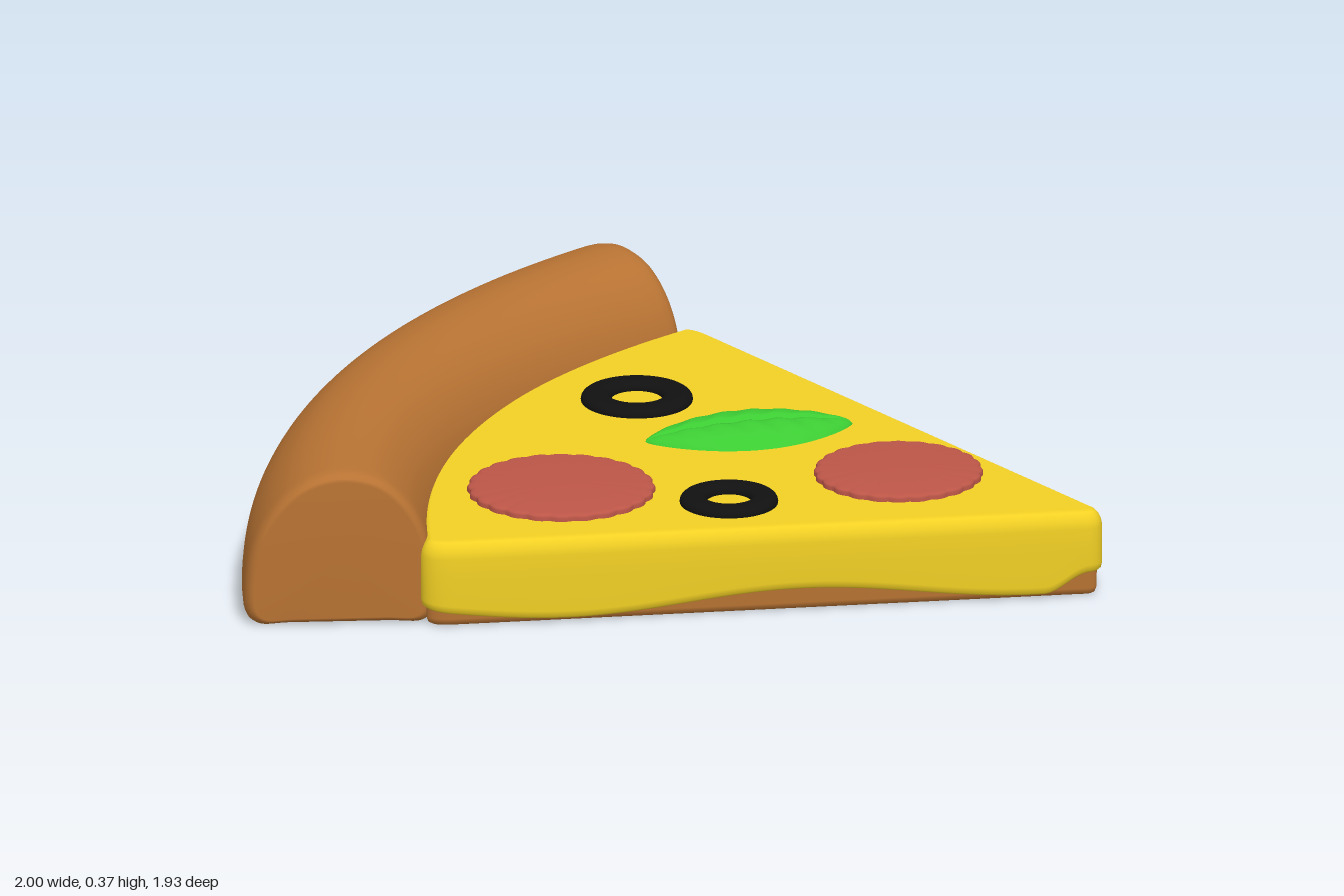
import * as THREE from 'three';

const V = (x, y, z) => new THREE.Vector3(x, y, z);

function addMesh(parent, name, geometry, color) {
  const mesh = new THREE.Mesh(geometry, new THREE.MeshStandardMaterial({ color }));
  mesh.name = name;
  parent.add(mesh);
  return mesh;
}

// Skins a list of closed rings (equal point counts), optionally closing the ends.
function loft(rings, capStart, capEnd) {
  const n = rings[0].length, pos = [], index = [];
  rings.forEach(ring => ring.forEach(p => pos.push(p.x, p.y, p.z)));
  for (let i = 0; i < rings.length - 1; i++) {
    for (let j = 0; j < n; j++) {
      const k = (j + 1) % n, a = i * n + j, b = i * n + k;
      index.push(a, b, a + n, b, b + n, a + n);
    }
  }
  const cap = (i, flip) => {
    const c = V(0, 0, 0);
    rings[i].forEach(p => c.addScaledVector(p, 1 / n));
    const ci = pos.length / 3;
    pos.push(c.x, c.y, c.z);
    for (let j = 0; j < n; j++) {
      const a = i * n + j, b = i * n + (j + 1) % n;
      if (flip) index.push(ci, b, a); else index.push(ci, a, b);
    }
  };
  if (capStart) cap(0, true);
  if (capEnd) cap(rings.length - 1, false);
  const g = new THREE.BufferGeometry();
  g.setAttribute('position', new THREE.Float32BufferAttribute(pos, 3));
  g.setIndex(index);
  g.computeVertexNormals();
  return g;
}

// Rounded wedge outline, counter-clockwise from above (shape y is -z).
function sliceOutline() {
  const s = new THREE.Shape();
  s.moveTo(0.965, -0.04);
  s.bezierCurveTo(1.01, -0.02, 1.01, 0.02, 0.965, 0.04);
  s.lineTo(-0.31, 0.793);
  s.quadraticCurveTo(-0.37, 0.83, -0.4, 0.8);
  s.quadraticCurveTo(-0.8, 0, -0.4, -0.8);
  s.quadraticCurveTo(-0.37, -0.83, -0.31, -0.793);
  s.lineTo(0.965, -0.04);
  return s.getSpacedPoints(400).slice(0, -1);
}

// Ring of the outline moved inward, at a height given by a rule.
function insetRing(outline, inset, height) {
  const n = outline.length;
  return outline.map((p, i) => {
    const d = outline[(i + 1) % n].clone().sub(outline[(i + n - 1) % n]).normalize();
    return V(p.x - d.y * inset, height(p), -(p.y - d.x * -inset));
  });
}

// Height of the melted lower edge of the cheese.
function dripHeight(p) {
  const front = 0.032 - 0.022 * Math.cos(2 * Math.PI * (p.x + 0.08) / 0.95);
  const back = 0.034 - 0.024 * Math.cos(2 * Math.PI * (p.x + 0.06) / 0.44);
  const side = THREE.MathUtils.smoothstep(p.y, -0.03, 0.03);
  const tip = THREE.MathUtils.smoothstep(p.x, 0.89, 0.985);
  return THREE.MathUtils.lerp(THREE.MathUtils.lerp(front, back, side), 0.06, tip);
}

function crustGeometry() {
  const profile = new THREE.CatmullRomCurve3([
    [-0.975, 0], [-1, 0.025], [-1, 0.13], [-0.975, 0.22], [-0.925, 0.3], [-0.865, 0.35],
    [-0.8, 0.372], [-0.74, 0.372], [-0.675, 0.35], [-0.615, 0.295], [-0.575, 0.22],
    [-0.56, 0.14], [-0.56, 0.02], [-0.58, 0], [-0.66, 0], [-0.9, 0],
  ].map(([x, y]) => V(x, y, 0)), true).getPoints(96).slice(0, -1);
  const cx = 1.2, half = 0.459, mid = V(-0.78, 0.17, 0);
  // Distance along the arc and profile scale: the ends are softly rounded.
  const ends = [[0, 0.9], [0.005, 0.94], [0.015, 0.975], [0.03, 0.993], [0.05, 1]];
  const stations = ends.map(([d, s]) => [half - d / 2, s]);
  const inner = half - 0.025;
  for (let i = 1; i < 40; i++) stations.push([inner * (1 - i / 20), 1]);
  ends.slice().reverse().forEach(([d, s]) => stations.push([-half + d / 2, s]));
  const rings = stations.map(([a, s]) => profile.map(p => {
    const q = p.clone().sub(mid).multiplyScalar(s).add(mid);
    const r = cx - q.x;
    return V(cx - r * Math.cos(a), Math.max(0, q.y), r * Math.sin(a));
  }));
  return loft(rings, true, true);
}

// Disc with a scalloped rim and a slightly domed top.
function pepperoniGeometry(radius) {
  const n = 216;
  const ring = (scale, y) => Array.from({ length: n }, (_, i) => {
    const a = i / n * Math.PI * 2;
    const r = radius * scale * (0.975 + 0.03 * Math.abs(Math.sin(a * 12)));
    return V(Math.cos(a) * r, y, -Math.sin(a) * r);
  });
  return loft([ring(1, 0.2), ring(1, 0.22), ring(0.985, 0.225), ring(0.93, 0.229),
    ring(0.6, 0.233), ring(0.2, 0.235)], false, true);
}

// Flattened ring with rounded edges.
function oliveGeometry(inner, outer) {
  const m = (inner + outer) / 2, w = (outer - inner) / 2;
  const pts = [];
  for (let i = 0; i <= 20; i++) {
    const a = -Math.PI / 2 + i / 20 * Math.PI * 2;
    const c = Math.cos(a), s = Math.sin(a);
    pts.push(new THREE.Vector2(m + w * Math.sign(c) * Math.pow(Math.abs(c), 0.6), 0.215 + 0.018 * s));
  }
  return new THREE.LatheGeometry(pts, 48);
}

// Domed leaf with a sunken midrib and faint side veins.
function leafGeometry() {
  const g = new THREE.PlaneGeometry(1, 1, 64, 32).rotateX(-Math.PI / 2);
  const p = g.attributes.position;
  for (let i = 0; i < p.count; i++) {
    const t = p.getX(i) + 0.5, s = p.getZ(i) * 2;
    const b = Math.max(0, Math.sin(Math.PI * t));
    const groove = 0.014 * Math.exp(-Math.pow(s / 0.09, 2));
    const vein = 0.002 * Math.sin((t - Math.abs(s) * 0.15) * 44) * (1 - s * s);
    const y = 0.208 + Math.sqrt(b) * (0.042 * (1 - Math.pow(Math.abs(s), 3)) - groove + vein);
    p.setXYZ(i, (t - 0.5) * 0.51, y, s * 0.13 * Math.pow(b, 0.7));
  }
  g.computeVertexNormals();
  return g;
}

export function createModel() {
  const model = new THREE.Group();
  model.name = 'pizzaSlice';
  const crustColor = 0xb87333;
  const outline = sliceOutline();

  // Bread
  addMesh(model, 'crust', crustGeometry(), crustColor);
  const doughRings = [[0.027, 0], [0.018, 0.005], [0.013, 0.018], [0.012, 0.15]]
    .map(([inset, y]) => insetRing(outline, inset, () => y));
  addMesh(model, 'doughBase', loft(doughRings, true, false), crustColor);

  // Cheese with a dripping lower edge and rounded upper edge
  const cheeseRings = [
    ...[[0.025, 0.012], [0.01, 0], [0.003, 0.006], [0, 0.02]]
      .map(([inset, dy]) => insetRing(outline, inset, p => dripHeight(p) + dy)),
    ...[[0, 0.13], [0, 0.17], [0.003, 0.185], [0.009, 0.198], [0.017, 0.207], [0.026, 0.212]]
      .map(([inset, y]) => insetRing(outline, inset, () => y)),
  ];
  addMesh(model, 'cheese', loft(cheeseRings, false, true), 0xf2d024);

  // Toppings
  [[0.465, -0.045, 0.198], [-0.225, 0.36, 0.22]].forEach(([x, z, r], i) => {
    addMesh(model, 'pepperoni' + (i + 1), pepperoniGeometry(r), 0xbc5648).position.set(x, 0, z);
  });
  [[-0.3, -0.29, 0.06, 0.132], [0.17, 0.285, 0.052, 0.116]].forEach(([x, z, a, b], i) => {
    addMesh(model, 'oliveRing' + (i + 1), oliveGeometry(a, b), 0x111111).position.set(x, 0, z);
  });
  const leaf = addMesh(model, 'basilLeaf', leafGeometry(), 0x3ccc33);
  leaf.material.side = THREE.DoubleSide;
  leaf.position.set(0.03, 0, -0.18);
  leaf.rotation.y = 0.66;

  return model;
}
